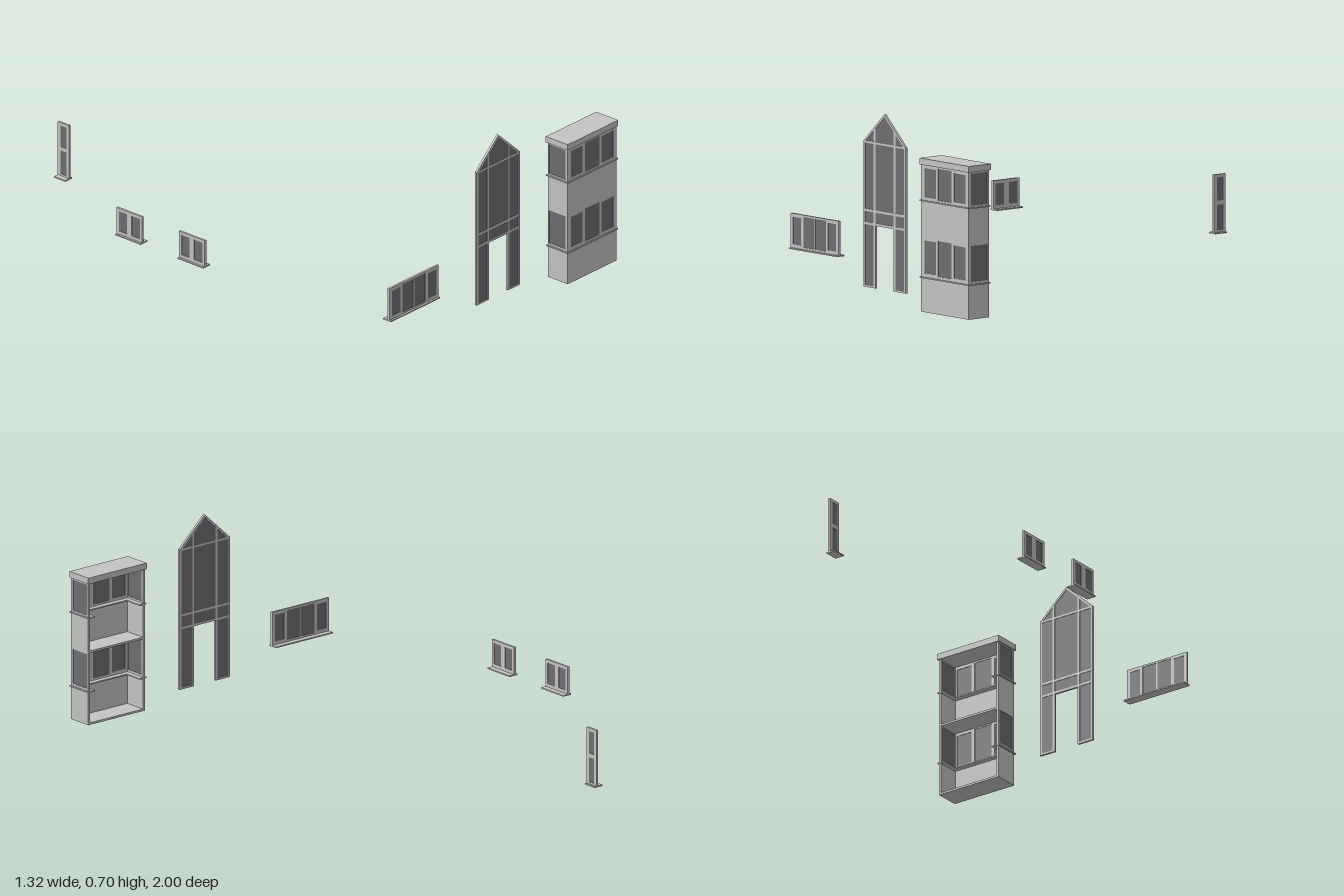
import * as THREE from 'three';

const frameMat = new THREE.MeshStandardMaterial({ color: 0xc4c4c4 });
frameMat.name = 'pale grey frame';
const glassMat = new THREE.MeshStandardMaterial({ color: 0x6e6e71 });
glassMat.name = 'dark grey glass';

const T = 0.009; // frame thickness

function box(name, x0, x1, y0, y1, z0, z1, mat = frameMat) {
  const mesh = new THREE.Mesh(new THREE.BoxGeometry(x1 - x0, y1 - y0, z1 - z0), mat);
  mesh.position.set((x0 + x1) / 2, (y0 + y1) / 2, (z0 + z1) / 2);
  mesh.name = name;
  return mesh;
}

const points = (pts) => pts.map(([x, y]) => new THREE.Vector2(x, y));
const rect = (x0, x1, y0, y1) => [[x0, y0], [x1, y0], [x1, y1], [x0, y1]];

function slab(name, pts, holes, depth, z, mat) {
  const shape = new THREE.Shape(points(pts));
  holes.forEach((h) => shape.holes.push(new THREE.Path(points(h))));
  const geo = new THREE.ExtrudeGeometry(shape, { depth, bevelEnabled: false });
  const mesh = new THREE.Mesh(geo, mat);
  mesh.position.z = z;
  mesh.name = name;
  return mesh;
}

// A panel with openings, each filled by a thin pane; its outer side faces +z at z = T / 2
function panel(name, outline, openings) {
  const g = new THREE.Group();
  g.name = name;
  g.add(slab('frame', outline, openings, T, -T / 2, frameMat));
  openings.forEach((o) => g.add(slab('pane', o, [], 0.005, -0.0025, glassMat)));
  return g;
}

// Inner sill, reaching deeper on the room side
const sill = (x0, x1, y) => box('sill', x0, x1, y - 0.002, y + 0.003, -0.026, 0.0125);

function sillWindow(name, x0, x1, y0, y1, panes) {
  const g = panel(name, rect(x0, x1, y0, y1), panes);
  g.add(sill(x0, x1, y0));
  return g;
}

// Tall gabled window around a doorway
function gableWindow() {
  const x0 = -0.051, x1 = 0.194, cx = 0.0715, base = 0.04, eave = 0.59, apex = 0.703;
  const slope = (apex - eave) / (cx - x0);
  const outline = [[x0, base], [0.019, base], [0.019, 0.276], [0.125, 0.276], [0.125, base],
    [x1, base], [x1, eave], [cx, apex], [x0, eave]];
  const roof = (x) => apex - slope * Math.abs(x - cx) - 0.011; // inner edge of the gable bars
  const columns = [[x0 + 0.009, 0.0095], [0.0185, 0.1255], [0.1345, x1 - 0.009]];
  const openings = [];
  columns.forEach(([a, b], i) => {
    if (i !== 1) openings.push(rect(a, b, base + 0.007, 0.276));
    openings.push(rect(a, b, 0.285, 0.326));
    openings.push(rect(a, b, 0.335, 0.584));
    const y = 0.592;
    if (i === 1) openings.push([[a, y], [b, y], [b, roof(b)], [cx, roof(cx)], [a, roof(a)]]);
    else {
      const reach = (apex - 0.011 - y) / slope; // where the roof bar meets the transom
      const tip = i === 0 ? Math.max(a, cx - reach) : Math.min(b, cx + reach);
      openings.push(i === 0 ? [[tip, y], [b, y], [b, roof(b)]] : [[a, y], [tip, y], [a, roof(a)]]);
    }
  });
  const g = panel('gableWindow', outline, openings);
  g.position.z = 0.915;
  return g;
}

// Two-storey bay, hollow and open at the back
function bayWindow() {
  const g = new THREE.Group();
  g.name = 'bayWindow';
  const cx = 0.514, half = 0.138, back = 0.897, front = 0.996, top = 0.557;
  const storeys = [[0.142, 0.277], [0.43, 0.55]];
  const frontPanes = storeys.flatMap(([a, b]) => [
    rect(-0.12, -0.053, a + 0.005, b - 0.006),
    rect(-0.039, 0.039, a, b),
    rect(0.053, 0.12, a + 0.005, b - 0.006),
  ]);
  const face = panel('bayFront', rect(-half, half, 0, top), frontPanes);
  face.position.set(cx, 0, front - T / 2);
  g.add(face);

  // Side walls
  const d = (front - T - back) / 2;
  for (const s of [-1, 1]) {
    const side = panel('baySide', rect(-d, d, 0, top),
      storeys.map(([a, b]) => rect(-d + 0.007, d - 0.003, a, b).map(([x, y]) => [-s * x, y]).sort(() => 0)));
    side.rotation.y = s * Math.PI / 2;
    side.position.set(cx + s * (half - T / 2), 0, back + d);
    g.add(side);
  }

  // Floors and roof cap
  const i0 = cx - half + T, i1 = cx + half - T;
  g.add(box('lowerFloor', i0, i1, 0, 0.008, back, front - T));
  g.add(box('upperFloor', i0, i1, 0.282, 0.29, back, front - T));
  g.add(box('roofCap', 0.371, 0.657, 0.556, 0.58, 0.891, 1.0));

  // Sills wrapping the three sides
  for (const y of [0.13, 0.42]) {
    g.add(box('frontSill', 0.371, 0.657, y - 0.002, y + 0.003, 0.966, 1.0));
    g.add(box('sideSill', 0.371, 0.405, y - 0.002, y + 0.003, 0.893, 0.966));
    g.add(box('sideSill', 0.623, 0.657, y - 0.002, y + 0.003, 0.893, 0.966));
  }
  return g;
}

export function createModel() {
  const model = new THREE.Group();
  model.name = 'houseWindows';
  model.add(bayWindow(), gableWindow());

  // Wide four-light window
  const wide = sillWindow('wideWindow', -0.51, -0.232, 0.13, 0.263, [
    rect(-0.496, -0.45, 0.147, 0.25),
    rect(-0.436, -0.373, 0.14, 0.256),
    rect(-0.367, -0.305, 0.14, 0.256),
    rect(-0.292, -0.246, 0.147, 0.25),
  ]);
  wide.position.z = 0.8845;
  model.add(wide);

  // Pair of two-light side windows
  for (const z of [0.0335, -0.278]) {
    const w = sillWindow('sideWindow', -0.064, 0.064, 0.155, 0.265, [
      rect(-0.052, -0.012, 0.171, 0.253),
      rect(0.011, 0.053, 0.171, 0.253),
    ]);
    w.rotation.y = -Math.PI / 2;
    w.position.set(-0.6505, 0, z);
    model.add(w);
  }

  // Narrow window with two stacked lights
  const narrow = sillWindow('narrowWindow', -0.0285, 0.0285, 0.043, 0.265, [
    rect(-0.015, 0.015, 0.054, 0.15),
    rect(-0.015, 0.015, 0.166, 0.253),
  ]);
  narrow.rotation.y = Math.PI / 2;
  narrow.position.set(-0.2365, 0, -0.9715);
  model.add(narrow);
  return model;
}
